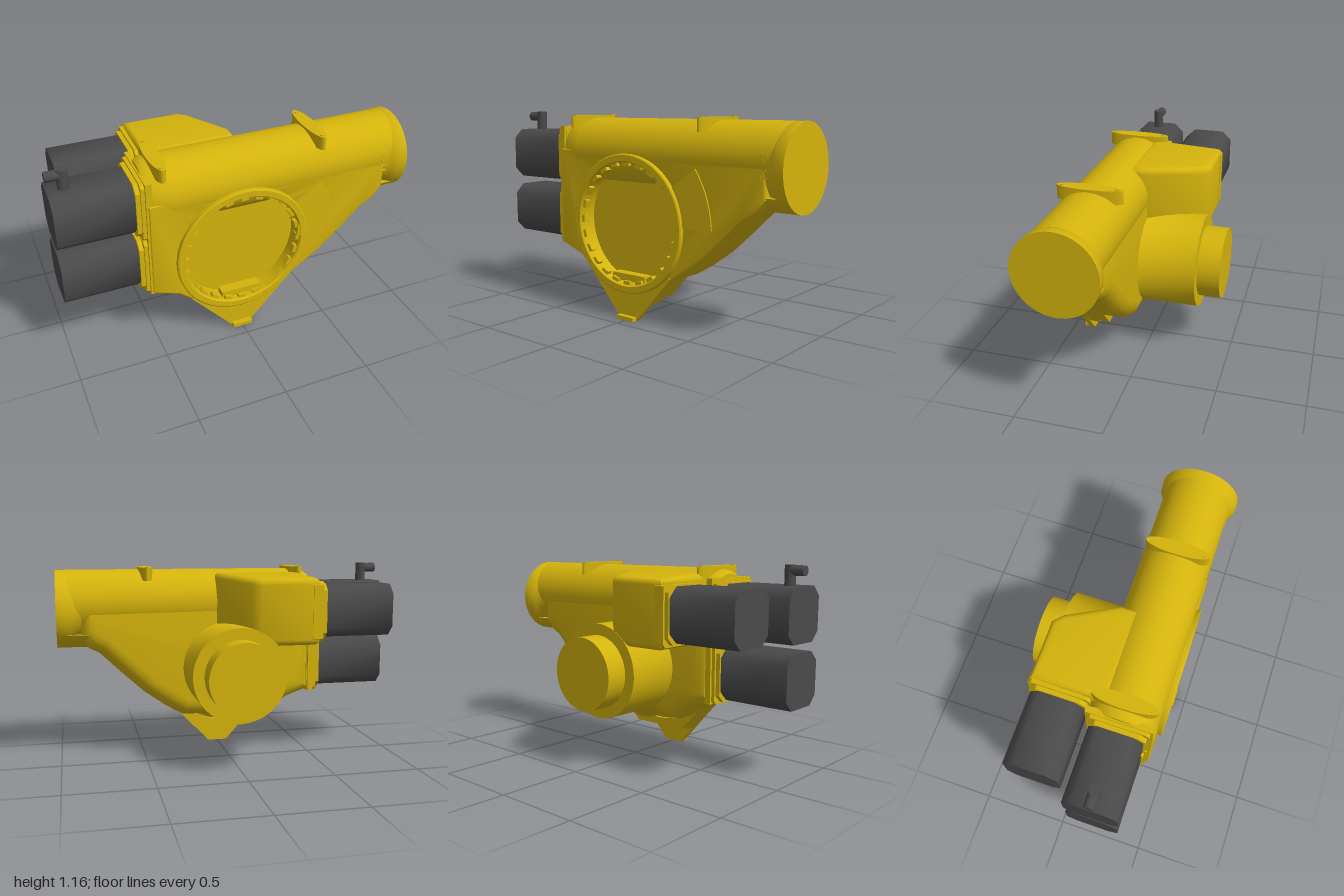
import * as THREE from 'three';
import { toCreasedNormals } from 'three/addons/utils/BufferGeometryUtils.js';

const yellow = new THREE.MeshStandardMaterial({ color: 0xd4b30c });
const dark = new THREE.MeshStandardMaterial({ color: 0x4a4a4a });
const HUB_Y = 0.548; // height of the main turning axis
const ARM_Z = 0.21;  // depth of the arm axis

export function createModel() {
  const model = new THREE.Group();

  const add = (name, geo, mat = yellow, crease = 0.6) => {
    const mesh = new THREE.Mesh(toCreasedNormals(geo, crease), mat);
    mesh.name = name;
    model.add(mesh);
  };
  const poly = (pts) => new THREE.Shape(pts.map(([x, y]) => new THREE.Vector2(x, y)));

  // Extrude along z between z0 and z1, rounding edges inwards
  const slab = (shape, z0, z1, bevel = 0) => new THREE.ExtrudeGeometry(shape, {
    depth: z1 - z0 - 2 * bevel, curveSegments: 48,
    bevelEnabled: bevel > 0, bevelSize: bevel, bevelThickness: bevel,
    bevelOffset: -bevel, bevelSegments: 5,
  }).translate(0, 0, z0 + bevel);

  const lathe = (pts) =>
    new THREE.LatheGeometry(pts.map(([r, h]) => new THREE.Vector2(r, h)), 64);
  const hubLathe = (pts) => lathe(pts).rotateX(Math.PI / 2).translate(0, HUB_Y, 0);

  // Square with cut corners, extruded along x
  const cutBlock = (x0, x1, y, z, half, cut) => {
    const k = half - cut;
    const s = poly([[-k, -half], [k, -half], [half, -k], [half, k],
      [k, half], [-k, half], [-half, k], [-half, -k]]);
    return slab(s, 0, x1 - x0).rotateY(-Math.PI / 2).translate(x1, y, z);
  };

  // Casting: rear half strongly rounded, front half open around the ring
  const strut = [[0.38, 0.315], [0.5, 0.4], [0.62, 0.51], [0.76, 0.645],
    [0.82, 0.675], [0.88, 0.75]];
  add('rearCasting', slab(poly([[-0.53, 0.385], [-0.38, 0.33], [-0.27, 0.24],
    [0.27, 0.25], ...strut, [0.88, 0.95], [-0.53, 1.0]]), 0.02, 0.3, 0.1));

  const front = new THREE.Shape();
  front.moveTo(-0.53, 0.385);
  front.lineTo(-0.38, 0.33);
  front.lineTo(-0.3, 0.265);
  front.absarc(0, HUB_Y, 0.36, -Math.PI * 0.75, -Math.PI * 0.25, true);
  front.lineTo(0.3, 0.265);
  for (const [x, y] of strut) front.lineTo(x, y);
  front.lineTo(0.88, 0.95);
  front.lineTo(-0.53, 0.95);
  add('frontCasting', slab(front, 0.1, 0.402, 0.015));

  // Hub: stepped drum behind, bearing ring and recess in front
  add('rearDrum', hubLathe([[0, -0.44], [0.208, -0.44], [0.208, -0.31], [0.273, -0.31],
    [0.273, 0.02], [0.33, 0.07], [0.33, 0.24]]), yellow, 1.0);
  add('bearingRing', hubLathe([[0.3, 0.23], [0.34, 0.23], [0.385, 0.26], [0.392, 0.41],
    [0.392, 0.425], [0.385, 0.43], [0.352, 0.43], [0.345, 0.42], [0.345, 0.32], [0, 0.32]]));

  // Teeth and keys inside the bearing ring
  for (let i = 0; i < 24; i++) {
    add('ringTooth', new THREE.BoxGeometry(0.025, 0.045, 0.035)
      .translate(0.337, 0, 0.4).rotateZ((i / 24) * Math.PI * 2).translate(0, HUB_Y, 0));
  }
  add('lowerKey', new THREE.BoxGeometry(0.24, 0.04, 0.06).translate(0, 0.24, 0.37));
  add('sideKey', new THREE.BoxGeometry(0.05, 0.08, 0.04).translate(0.355, 0.6, 0.407));

  // Foot under the ring: thin plate in front, shorter web behind it
  const foot = (y, w) => {
    const s = new THREE.Shape();
    s.moveTo(-w, y);
    s.lineTo(w, y);
    s.lineTo(0.305, 0.275);
    s.absarc(0, HUB_Y, 0.37, -0.72, -Math.PI + 0.72, true);
    s.lineTo(-0.305, 0.275);
    return s;
  };
  add('footPlate', slab(foot(0, 0.06), 0.37, 0.405));
  add('footWeb', slab(foot(0.11, 0.157), 0.3, 0.38));
  add('footWebRear', slab(foot(0.135, 0.18), 0.23, 0.31));
  add('footLip', new THREE.BoxGeometry(0.12, 0.022, 0.035).translate(0, 0.011, 0.418));

  // Curved cover beside the ring
  const cover = new THREE.Shape();
  cover.absarc(0, HUB_Y, 0.575, 0.04, 0.62, false);
  cover.absarc(0, HUB_Y, 0.38, 0.62, 0.04, true);
  add('sideCover', slab(cover, 0.38, 0.41));

  // Arm tube with flared socket
  add('armTube', lathe([[0, -0.53], [0.165, -0.53], [0.185, -0.5], [0.195, -0.4],
    [0.195, 0.95], [0, 0.95]]).rotateZ(-Math.PI / 2).translate(0, 0.935, ARM_Z));
  add('armSocket', lathe([[0.185, 0.86], [0.195, 0.89], [0.21, 0.92], [0.228, 0.945],
    [0.23, 1], [0, 1]]).rotateZ(-Math.PI / 2).translate(0, 0.9, ARM_Z));
  const segment = new THREE.Shape();
  segment.absarc(0, 0, 0.229, Math.PI + 0.65, Math.PI * 2 - 0.65, false);
  add('socketSaddle', slab(segment, 0, 0.17)
    .rotateY(-Math.PI / 2).translate(0.99, 0.9, ARM_Z));
  for (let i = 0; i < 4; i++) {
    add('socketRib', new THREE.BoxGeometry(0.04, 0.008, 0.02)
      .translate(0.87, 0.86 + i * 0.035, 0.397));
  }

  // Lens-shaped lugs on top of the arm
  for (const x of [-0.44, 0.475]) {
    const lens = new THREE.Shape().absellipse(0, 0, 0.042, 0.182, 0, Math.PI * 2, false);
    add('topLug', slab(lens, 0, 0.075).rotateX(Math.PI / 2).translate(x, 1.143, ARM_Z));
    for (const z of [0.06, 0.36]) {
      add('lugBolt', new THREE.CylinderGeometry(0.013, 0.013, 0.01, 12).translate(x, 1.142, z));
    }
  }

  // Rear drive housing, its top falling gently to the back
  const housing = slab(poly([[-0.46, -0.308], [-0.12, -0.308], [-0.07, -0.26],
    [0.07, 0.02], [0.07, 0.12], [-0.46, 0.12]]), 0, 0.4, 0.035)
    .rotateX(Math.PI / 2).translate(0, 1.11, 0);
  const p = housing.attributes.position;
  for (let i = 0; i < p.count; i++) {
    const back = Math.max(0, -0.05 - p.getZ(i));
    if (p.getY(i) > 0.9) p.setY(i, p.getY(i) - back * 0.08);
  }
  add('rearHousing', housing, yellow, 0.9);

  // Motors and their mounting flanges
  const motors = [
    ['upper', -1, -0.57, 0.9, 0.21],
    ['lower', -1, -0.57, 0.55, 0.21],
    ['rear', -0.91, -0.49, 0.9, -0.14],
  ];
  for (const [name, x0, x1, y, z] of motors) {
    add(name + 'Motor', cutBlock(x0, x1, y, z, 0.15, 0.055), dark, 0.9);
    add(name + 'MotorFlange', cutBlock(x1 - 0.015, x1 + 0.015, y, z, 0.16, 0.04));
    add(name + 'MotorAdapter', cutBlock(x1 + 0.01, x1 + 0.07, y, z, 0.172, 0.02));
  }
  // Side plate joining the two front motors
  add('motorSidePlate', new THREE.BoxGeometry(0.035, 0.7, 0.37).translate(-0.522, 0.73, ARM_Z));

  // Cable connector on the upper motor
  add('connectorPost', new THREE.CylinderGeometry(0.03, 0.03, 0.13, 16)
    .translate(-0.91, 1.095, ARM_Z), dark);
  add('connectorPlug', new THREE.CylinderGeometry(0.028, 0.028, 0.1, 16)
    .rotateZ(Math.PI / 2).translate(-0.95, 1.13, ARM_Z), dark);

  return model;
}
